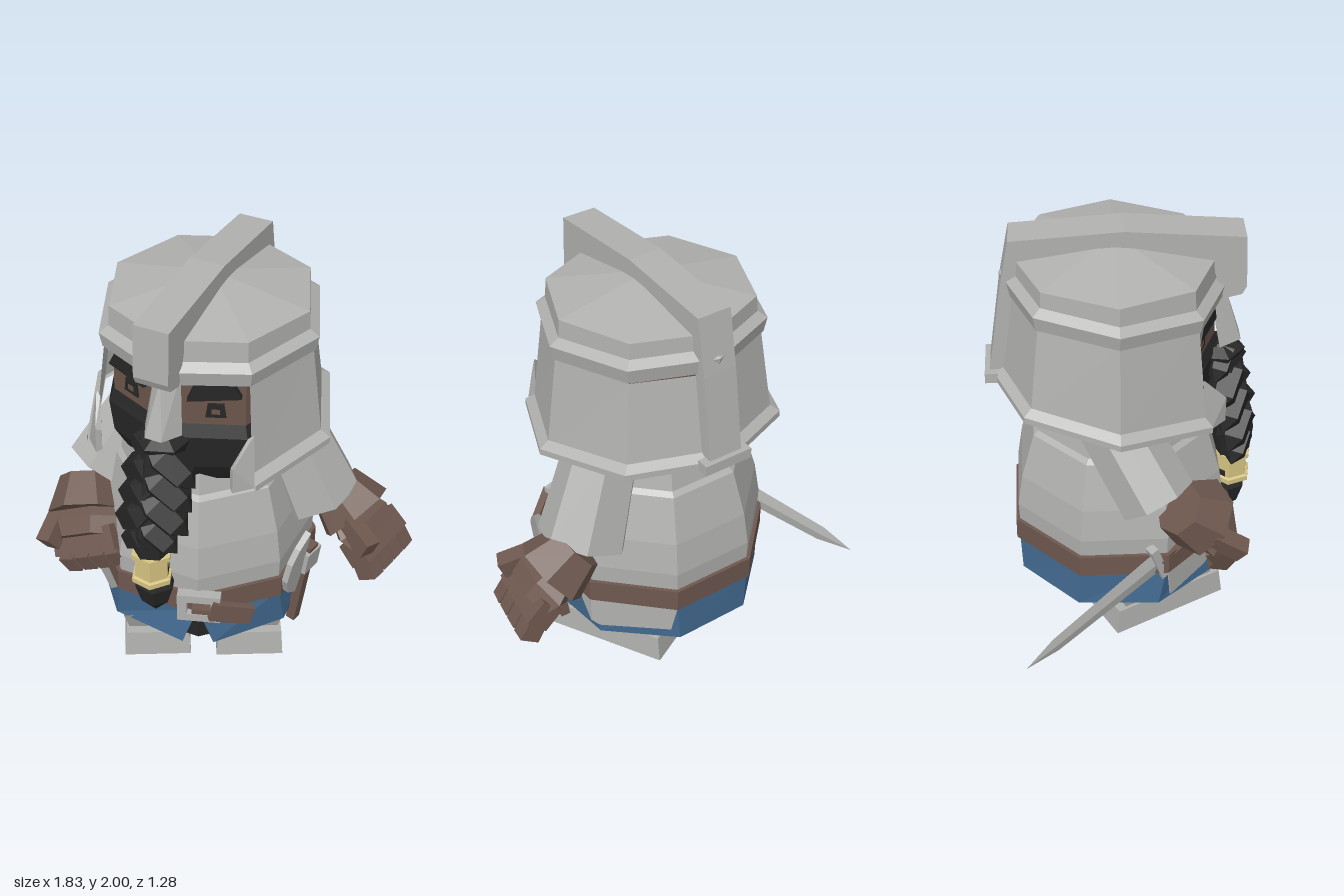
import * as THREE from 'three';
import { ConvexGeometry } from 'three/addons/geometries/ConvexGeometry.js';

const mat = (name, color, double) => {
  const m = new THREE.MeshStandardMaterial({ color });
  m.name = name;
  if (double) m.side = THREE.DoubleSide;
  return m;
};
const V = (x, y, z) => new THREE.Vector3(x, y, z);

// Faceted normals for any geometry
function facet(g) {
  const f = g.index ? g.toNonIndexed() : g;
  f.computeVertexNormals();
  return f;
}

// Stack of polygon rings [y, radius, tilt, cx, cz, trim], bottom to top, through angles in degrees;
// trim pulls an open ring's ends towards its middle angle
function loft(rings, angles) {
  const mid = (angles[0] + angles[angles.length - 1]) / 2;
  const pts = rings.map(([y, r, tilt = 0, cx = 0, cz = 0, trim = 1]) => angles.map(d => {
    const a = (mid + (d - mid) * trim) * Math.PI / 180, z = Math.cos(a) * r;
    return [cx + Math.sin(a) * r, y - tilt * z, cz + z];
  }));
  const out = [];
  for (let i = 0; i + 1 < rings.length; i++) for (let j = 0; j + 1 < angles.length; j++) {
    const a = pts[i][j], b = pts[i][j + 1], c = pts[i + 1][j + 1], d = pts[i + 1][j];
    out.push(...a, ...b, ...c, ...a, ...c, ...d);
  }
  const g = new THREE.BufferGeometry();
  g.setAttribute('position', new THREE.Float32BufferAttribute(out, 3));
  return facet(g);
}
const around = (n, start = 0) => Array.from({ length: n + 1 }, (_, i) => start + i * 360 / n);

// Flat shape from [x, y] points, extruded by depth and centred on z
function plate(points, depth, hole) {
  const s = new THREE.Shape(points.map(p => new THREE.Vector2(...p)));
  if (hole) s.holes.push(new THREE.Path(hole.map(p => new THREE.Vector2(...p))));
  return new THREE.ExtrudeGeometry(s, { depth, bevelEnabled: false }).translate(0, 0, -depth / 2);
}

// Turn an object so that its y axis follows dir and its x axis leans to hint
function orient(obj, pos, dir, hint) {
  const y = dir.clone().normalize();
  const x = hint.clone().addScaledVector(y, -hint.dot(y)).normalize();
  obj.quaternion.setFromRotationMatrix(new THREE.Matrix4().makeBasis(x, y, x.clone().cross(y)));
  obj.position.copy(pos);
  return obj;
}

export function createModel() {
  const steel = mat('steel grey', 0xb1b1af, true);
  const cloth = mat('tunic grey', 0xb0b0ae, true);
  const leather = mat('brown leather', 0x6e584f);
  const skin = mat('brown skin', 0x6b554b);
  const hair = mat('black hair', 0x272727, true);
  const blue = mat('blue cloth', 0x446c93, true);
  const gold = mat('gold', 0xd6c482);

  const root = new THREE.Group();
  root.name = 'dwarf';
  const add = (parent, name, geo, m, x = 0, y = 0, z = 0) => {
    const mesh = new THREE.Mesh(geo, m);
    mesh.name = name;
    mesh.position.set(x, y, z);
    parent.add(mesh);
    return mesh;
  };
  const group = (parent, name, x = 0, y = 0, z = 0, ry = 0) => {
    const g = new THREE.Group();
    g.name = name;
    g.position.set(x, y, z);
    g.rotation.y = ry;
    parent.add(g);
    return g;
  };
  const box = (w, h, d) => new THREE.BoxGeometry(w, h, d);
  const limb = (name, p, q, r1, r2, m, n) => {
    const mesh = add(root, name, facet(new THREE.CylinderGeometry(r2, r1, p.distanceTo(q), n)), m);
    return orient(mesh, p.clone().lerp(q, 0.5), q.clone().sub(p), V(0.3, 0.1, 1));
  };

  // Torso, belt and short skirt open at the front
  const body = group(root, 'body', 0.04, 0, -0.03);
  const oct = around(8, 32.5);
  add(body, 'tunic', loft([[0.5, 0.52], [0.62, 0.525], [0.78, 0.5], [1.0, 0.435], [1.02, 0.41], [1.24, 0.36], [1.24, 0]], oct), cloth);
  add(body, 'belt', loft([[0.42, 0.5], [0.42, 0.54], [0.53, 0.54], [0.53, 0.5]], oct), leather);
  add(body, 'hips', loft([[0.22, 0], [0.22, 0.475], [0.45, 0.49]], oct), hair);
  add(body, 'skirt', loft([[0.22, 0.515, 0, 0, 0, 0.955], [0.44, 0.525]], oct), blue);
  const h = 0.205;
  const flap = (angle, pts) => add(group(body, 'tunicFlap', 0, 0, 0, angle * Math.PI / 180),
    'flapCloth', plate(pts, 0.008), cloth, 0, 0, 0.493);
  flap(-35, [[-h, 0.43], [-h + 0.02, 0.27], [h - 0.14, 0.3], [h, 0.43]]);
  flap(145, [[-h, 0.43], [-h, 0.29], [-h + 0.04, 0.265], [h - 0.03, 0.29], [h, 0.43]]);
  flap(100, [[h - 0.12, 0.43], [h, 0.29], [h, 0.43]]);

  // Buckle with belt end
  const buckle = group(root, 'buckle', 0.335, 0.475, 0.42, 0.5);
  add(buckle, 'buckleFrame', plate([[-0.1, -0.075], [0.1, -0.075], [0.1, 0.075], [-0.1, 0.075]], 0.05,
    [[-0.055, -0.035], [-0.055, 0.035], [0.055, 0.035], [0.055, -0.035]]), steel);
  add(buckle, 'prong', box(0.1, 0.025, 0.05), leather, 0.02, 0, 0.02);
  const strap = add(buckle, 'beltEnd', box(0.2, 0.095, 0.035), leather, 0.15, -0.02, 0.005);
  strap.rotation.set(0, 0.35, -0.3);

  // Boots
  for (const [x, z] of [[-0.11, 0.16], [0.25, -0.1]]) {
    const leg = group(root, 'boot', x, 0, z, 0.66);
    const s = Math.SQRT1_2;
    add(leg, 'foot', loft([[0, 0], [0, s], [0.13, s * 0.95], [0.13, 0]], around(4, 45)), cloth).scale.set(0.32, 1, 0.6);
    add(leg, 'trouserLeg', loft([[0.12, s * 0.84], [0.24, s]], around(4, 45)), cloth).scale.set(0.32, 1, 0.56);
  }

  // Head inside the helmet
  const head = group(root, 'head', 0.06, 0, -0.05, 0.17);
  const ring8 = around(8);
  add(head, 'face', loft([[1.2, 0], [1.22, 0.43], [1.35, 0.455], [1.68, 0.45]], ring8), skin);
  const front = [-90, -45, 0, 45, 90];
  add(head, 'beard', loft([[1.2, 0.03], [1.13, 0.4, 0.13], [1.23, 0.46, 0.1], [1.36, 0.48], [1.42, 0.455]], front), hair);
  for (const s of [-1, 1]) {
    const side = group(head, 'eyeSide', 0, 0, 0, s * Math.PI / 8);
    add(side, 'eye', plate([[-0.045, -0.035], [0.045, -0.035], [0.035, 0.035], [-0.035, 0.035]], 0.009), hair, s * 0.045, 1.495, 0.423);
    add(side, 'pupil', box(0.035, 0.025, 0.006), skin, s * 0.045, 1.49, 0.426);
    const brow = add(side, 'eyebrow', plate([[-0.12, -0.035], [0.115, -0.03], [0.08, 0.045], [-0.08, 0.045]], 0.05), hair, s * 0.04, 1.6, 0.43);
    brow.rotation.z = s * 0.06;
  }

  // Helmet
  const helmet = group(head, 'helmet');
  add(helmet, 'crown', loft([[1.7, 0.475, 0.04], [1.855, 0.465, 0.02], [1.94, 0]], ring8), steel);
  add(helmet, 'brim', loft([[1.66, 0.45, 0.05], [1.67, 0.5, 0.05], [1.74, 0.515, 0.05], [1.77, 0.47, 0.05]], ring8), steel);
  const back = [45, 90, 135, 180, 225, 270, 315];
  add(helmet, 'neckGuard', loft([[1.22, 0.55, 0.1], [1.68, 0.49]], back), steel);
  add(helmet, 'neckRim', loft([[1.2, 0.55, 0.1], [1.2, 0.59, 0.1], [1.23, 0.59, 0.1], [1.26, 0.545, 0.1]], back), steel);
  for (const s of [-1, 1]) {
    const pts = [V(0.385, 1.42, 0.37), V(0.41, 1.17, 0.41), V(0.335, 1.165, 0.48), V(0.335, 1.29, 0.48), V(0.36, 1.4, 0.38),
      V(0.38, 1.17, 0.38), V(0.315, 1.175, 0.46), V(0.315, 1.28, 0.46)];
    add(helmet, 'cheekGuard', facet(new ConvexGeometry(pts.map(p => V(p.x * s, p.y, p.z)))), steel);
  }
  const crest = plate([[0.48, 1.65], [0.56, 1.67], [0.58, 1.71], [0.57, 1.96], [0.04, 2.0], [-0.465, 1.965], [-0.515, 1.7],
    [-0.575, 1.27], [-0.51, 1.27], [-0.45, 1.7], [-0.42, 1.86], [0, 1.91], [0.42, 1.84], [0.46, 1.7]], 0.165);
  add(helmet, 'crest', crest.rotateY(-Math.PI / 2), steel);
  add(helmet, 'crestFoot', box(0.24, 0.05, 0.06), steel, 0, 1.275, -0.565);
  add(helmet, 'noseGuard', facet(new ConvexGeometry([V(-0.06, 1.67, 0.42), V(0.06, 1.67, 0.42), V(0, 1.67, 0.49),
    V(-0.09, 1.39, 0.47), V(0.09, 1.39, 0.47), V(-0.04, 1.4, 0.57), V(0.04, 1.4, 0.57)])), steel);

  // Braided beard: crossing locks that shrink towards a gold ring
  const braid = group(root, 'braid');
  for (let i = 0; i < 9; i++) {
    const s = i % 2 ? 1 : -1, k = i === 0 || i > 6 ? 0.8 : 1;
    const lock = add(braid, 'braidLock', loft([[-0.15, 0], [-0.08, 0.07], [0.06, 0.085], [0.14, 0.03], [0.14, 0]], around(5, 20)), hair,
      0.135 + s * 0.07 * k, 1.31 - i * 0.058, 0.435 + Math.min(i, 7) * 0.0135);
    lock.scale.set(k, k, k * 1.05);
    lock.rotation.set(0.25, 0, s * 0.85);
  }
  add(braid, 'moustache', loft([[-0.04, 0.1], [0.03, 0.13], [0.06, 0.07], [0.06, 0]], around(6)), hair, 0.13, 1.32, 0.41);
  add(braid, 'braidCore', loft([[0.75, 0.085, 0, 0.13, 0.5], [0.9, 0.1, 0, 0.13, 0.5], [1.36, 0.1, 0, 0.13, 0.42]], around(6)), hair);
  add(braid, 'goldRing', loft([[0.61, 0.07], [0.61, 0.1], [0.635, 0.1], [0.64, 0.085], [0.74, 0.085], [0.745, 0.1], [0.77, 0.1], [0.77, 0.07]],
    around(6, 30)), gold, 0.13, 0, 0.5);
  add(braid, 'braidTip', loft([[0.39, 0], [0.47, 0.07], [0.57, 0.1], [0.63, 0.075], [0.77, 0.07]], around(6, 30)), hair, 0.13, 0, 0.48);

  // Sleeves
  limb('rightSleeve', V(-0.25, 1.2, -0.04), V(-0.39, 0.84, 0.2), 0.17, 0.18, cloth, 7);
  limb('leftSleeve', V(0.35, 1.22, -0.2), V(0.51, 0.78, -0.29), 0.17, 0.21, cloth, 7);

  // Gloves: flared cuff, palm, four bent fingers and a thumb
  const glove = (name, pos, dir, spread, curl, thumb) => {
    const g = group(root, name);
    add(g, 'cuff', facet(new THREE.CylinderGeometry(0.13, 0.185, 0.17, 7)).rotateX(Math.PI), leather, 0, -0.03, 0).rotation.x = Math.PI;
    add(g, 'palm', loft([[-0.24, 0], [-0.24, 0.165], [-0.16, 0.19], [-0.06, 0.14], [-0.06, 0]], around(6, 30)), leather).scale.z = 0.65;
    for (let i = 0; i < 4; i++) {
      const f = group(g, 'finger', -0.125 + i * 0.083, -0.2, 0);
      f.rotation.set(curl * 0.4, 0, (i - 1.5) * 0.04);
      add(f, 'fingerBase', box(0.086, 0.12, 0.115), leather, 0, -0.05, 0);
      const tip = group(f, 'fingerTip', 0, -0.1, 0);
      tip.rotation.x = curl;
      add(tip, 'fingerEnd', box(0.078, 0.1, 0.095), leather, 0, -0.04, 0);
    }
    const t = add(g, 'thumb', box(0.08, 0.17, 0.09), leather, thumb * 0.14, -0.19, 0.07);
    t.rotation.set(-0.3, 0, thumb * 0.3);
    orient(g, pos, dir.clone().negate(), spread);
  };
  glove('leftGlove', V(0.605, 0.76, -0.35), V(0.75, -0.62, 0), V(0, 0, -1), 0.25, -1);
  glove('rightGlove', V(-0.38, 0.78, 0.33), V(0.3, -0.42, 0.4), V(0.75, 0.45, -0.25), 0.8, -1);

  // Sword held in the right hand
  const sword = group(root, 'sword');
  const flat = (name, r1, r2, y0, y1) => {
    const mesh = add(sword, name, facet(new THREE.CylinderGeometry(r2, r1, y1 - y0, 4)), steel, 0, (y0 + y1) / 2, 0);
    mesh.scale.z = 0.2;
  };
  flat('blade', 0.065, 0.045, 0, 0.6);
  flat('bladeTip', 0.045, 0.001, 0.6, 0.77);
  add(sword, 'swordGuard', box(0.2, 0.04, 0.05), steel, 0, -0.01, 0);
  add(sword, 'swordGrip', facet(new THREE.CylinderGeometry(0.03, 0.03, 0.28, 6)), leather, 0, -0.16, 0);
  orient(sword, V(-0.42, 0.48, 0.2), V(-0.49, -0.26, -0.53), V(0, 1, 0));

  // Axe hanging from the belt
  const axe = group(root, 'axe', 0.575, 0.4, -0.075);
  axe.rotation.z = -0.15;
  add(axe, 'axeHandle', box(0.045, 0.5, 0.05), leather);
  add(axe, 'axeCap', box(0.055, 0.03, 0.065), leather, 0, 0.235, 0);
  add(axe, 'axeHead', box(0.07, 0.12, 0.11), steel, 0, 0.165, 0);
  const blade = plate([[0.05, 0.12], [0.07, -0.01], [0.145, 0.04], [0.18, 0.13], [0.165, 0.23], [0.12, 0.3], [0.045, 0.36], [0.05, 0.21]], 0.03);
  add(axe, 'axeBlade', blade.rotateY(-Math.PI / 2), steel);

  return root;
}
